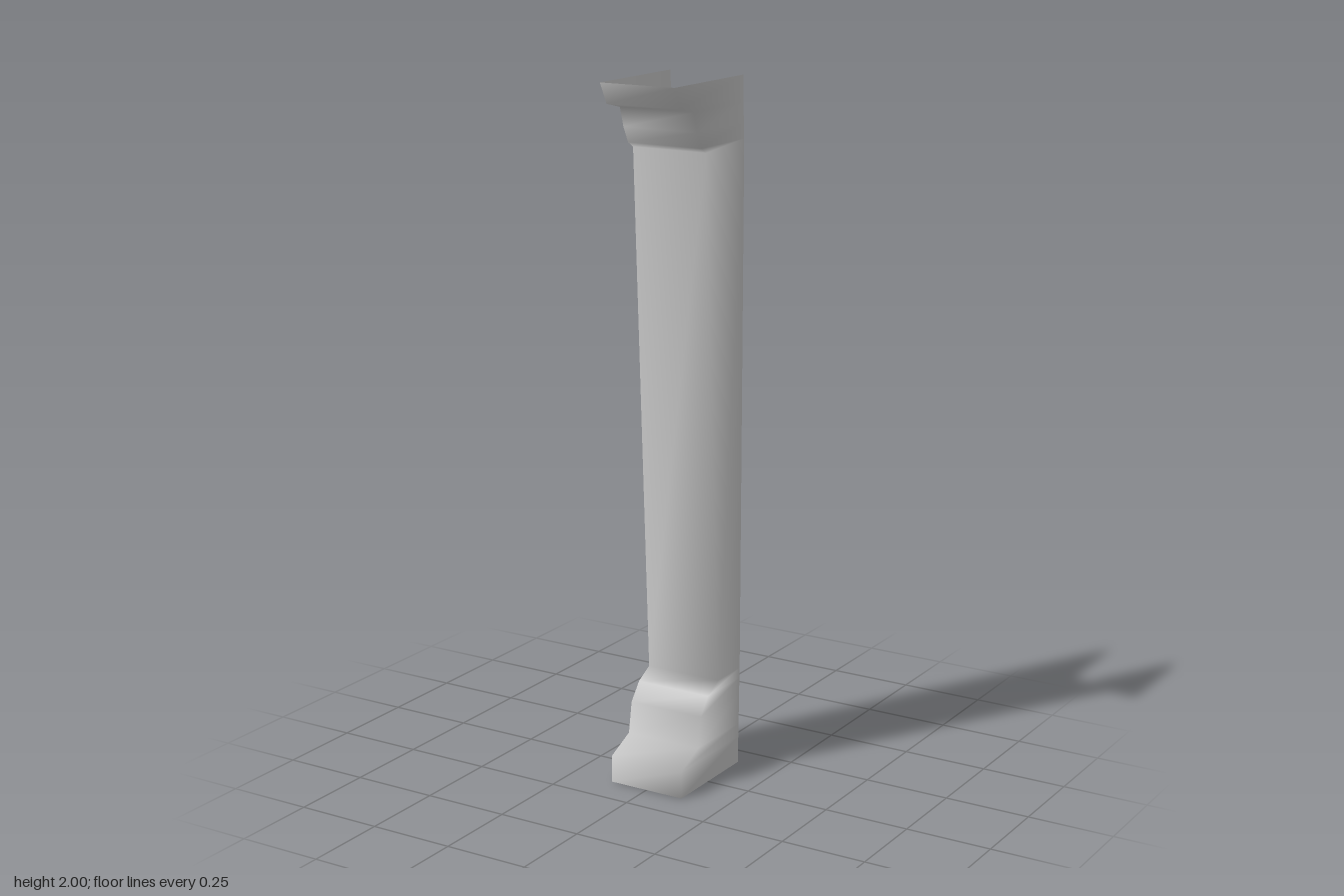
import * as THREE from 'three';

const HALF_WIDTH = 0.116;

// Profile from the floor up: [height, front z, back z]
const PROFILE = [
  [0, 0.145, -0.172], [0.08, 0.145, -0.173], [0.12, 0.055, -0.174],
  [0.21, 0.04, -0.176], [0.26, 0.0, -0.177], [0.29, -0.055, -0.178],
  [1.81, 0.02, -0.182], [1.825, 0.045, -0.181], [1.87, 0.068, -0.179],
  [1.925, 0.085, -0.177], [1.94, 0.15, -0.176], [2, 0.182, -0.174],
];

// Each part spans a run of profile rows
const PARTS = [['base', 0, 5], ['shaft', 5, 6], ['capital', 6, 11]];

// U-shaped shell: right side, front and left side; open at back, top and bottom
function shellGeometry() {
  const positions = [], index = [];
  for (const [y, front, back] of PROFILE) {
    positions.push(-HALF_WIDTH, y, back, -HALF_WIDTH, y, front);
    positions.push(HALF_WIDTH, y, front, HALF_WIDTH, y, back);
  }
  for (let row = 0; row < PROFILE.length - 1; row++) {
    for (let side = 0; side < 3; side++) {
      const a = row * 4 + side, b = a + 1, c = b + 4, d = a + 4;
      index.push(a, b, c, a, c, d);
    }
  }
  const geometry = new THREE.BufferGeometry();
  geometry.setAttribute('position', new THREE.Float32BufferAttribute(positions, 3));
  geometry.setIndex(index);
  geometry.computeVertexNormals();
  return geometry;
}

export function createModel() {
  const group = new THREE.Group();
  group.name = 'pilaster';
  const material = new THREE.MeshStandardMaterial({ color: 0xcccccc, side: THREE.DoubleSide });
  const shell = shellGeometry();
  const index = Array.from(shell.index.array);

  // Parts share the shell's normals, so shading runs smoothly across the joins
  for (const [name, first, last] of PARTS) {
    const geometry = shell.clone();
    geometry.setIndex(index.slice(first * 18, last * 18));
    const mesh = new THREE.Mesh(geometry, material);
    mesh.name = name;
    group.add(mesh);
  }
  return group;
}
